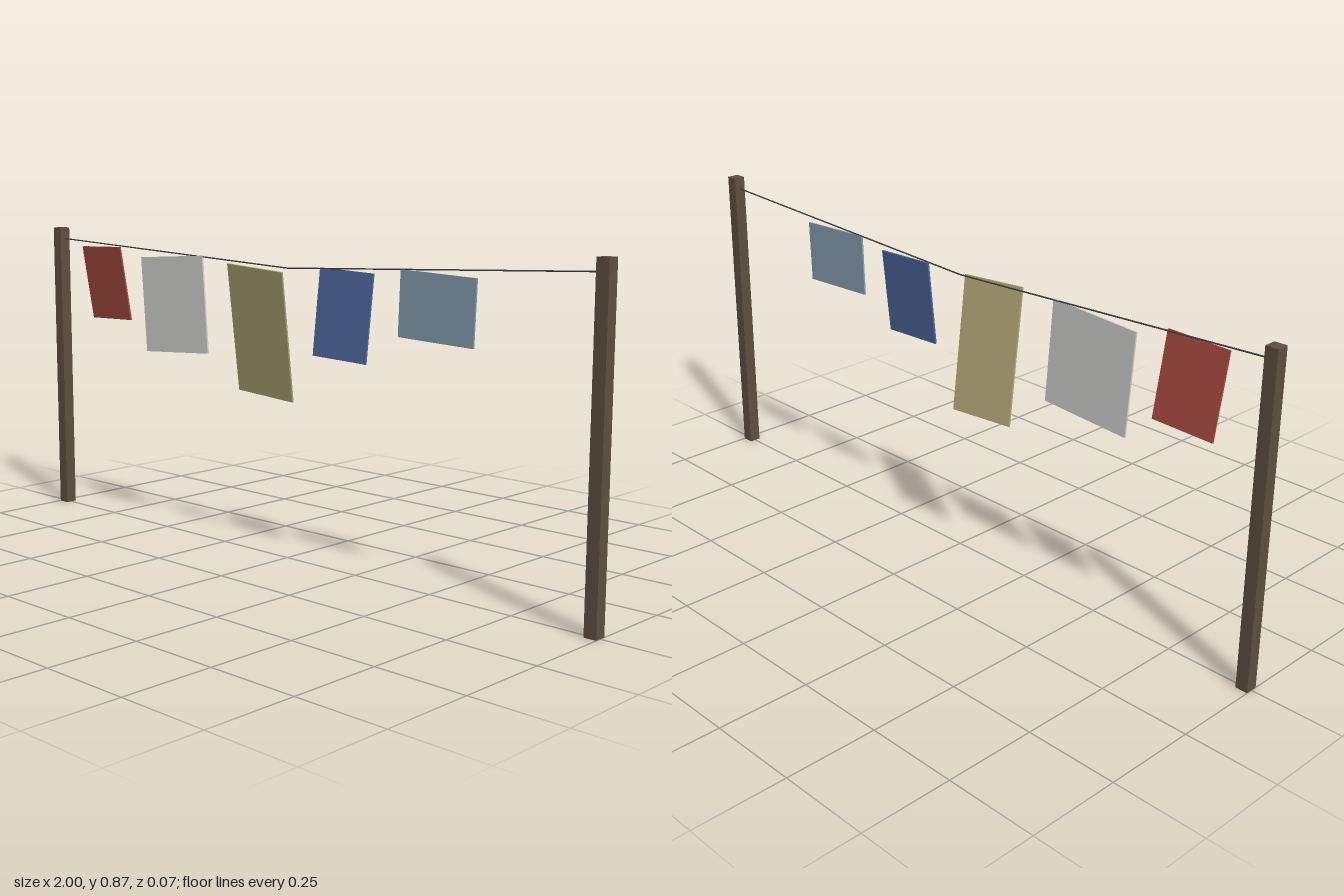
import * as THREE from 'three';

const paint = (name, color) => {
  const m = new THREE.MeshStandardMaterial({ color });
  m.name = name;
  return m;
};

export function createModel() {
  const group = new THREE.Group();
  group.name = 'clothesline';

  const wood = paint('dark wood', 0x5f5041);
  const ropeGrey = paint('rope grey', 0x45423e);

  const add = (name, geometry, material, x, y, z = 0) => {
    const mesh = new THREE.Mesh(geometry, material);
    mesh.name = name;
    mesh.position.set(x, y, z);
    group.add(mesh);
    return mesh;
  };

  // Square posts and the two straight halves of the sagging line
  const postX = 0.983, ropeEnd = 0.84, ropeMiddle = 0.797;
  const rise = ropeEnd - ropeMiddle;
  for (const side of [-1, 1]) {
    const label = side > 0 ? 'left' : 'right';
    add(label + 'Post', new THREE.BoxGeometry(0.034, 0.873, 0.034), wood, side * postX, 0.4365);
    const rope = add(label + 'Rope', new THREE.CylinderGeometry(0.002, 0.002, Math.hypot(postX, rise), 6),
      ropeGrey, side * postX / 2, (ropeEnd + ropeMiddle) / 2);
    rope.rotation.z = -side * Math.atan2(postX, rise);
  }

  // Hanging cloths: name, colour, centre x, centre y, width, height, swing about x, tilt about z
  const cloths = [
    ['red', 0xa84a40, -0.763, 0.713, 0.178, 0.222, 0.15, 0.028],
    ['white', 0xd3d3d0, -0.456, 0.668, 0.265, 0.278, 0.01, 0.063],
    ['yellow', 0xb5aa78, -0.103, 0.615, 0.207, 0.367, 0.185, -0.067],
    ['blue', 0x4f689f, 0.201, 0.685, 0.185, 0.233, -0.08, -0.035],
    ['paleBlue', 0x869fb2, 0.509, 0.725, 0.235, 0.17, 0, -0.04],
  ];
  for (const [name, color, x, y, w, h, swing, tilt] of cloths) {
    const cloth = add(name + 'Cloth', new THREE.BoxGeometry(w, h, 0.005), paint(name + ' cloth', color), x, y);
    cloth.rotation.set(swing, 0, tilt);
  }

  return group;
}
